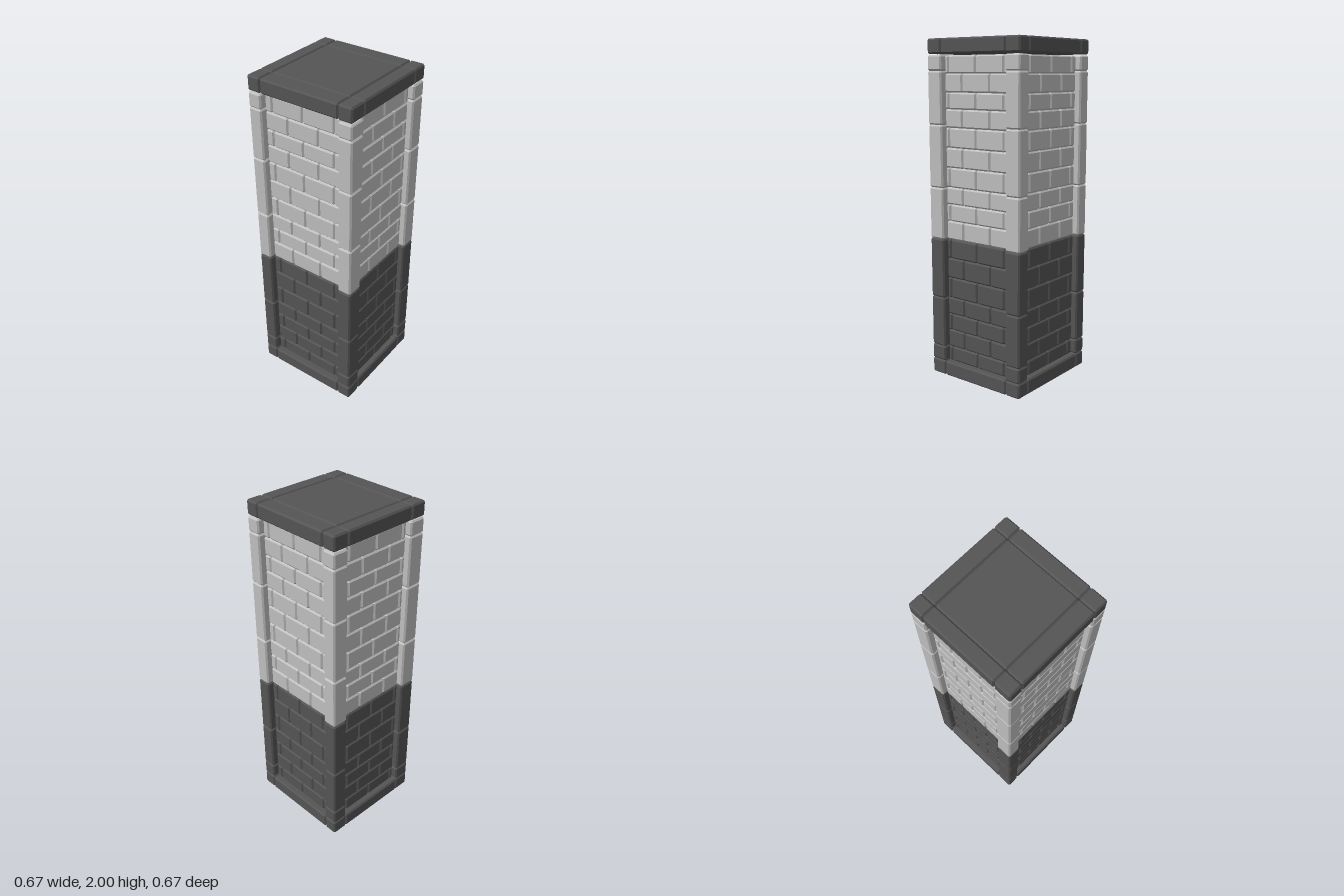
import * as THREE from 'three';
import { mergeGeometries } from 'three/addons/utils/BufferGeometryUtils.js';
import { ConvexGeometry } from 'three/addons/geometries/ConvexGeometry.js';

const BEVEL = 0.009;
const OUT = 0.333;              // outer faces of posts, base and cap
const WALL = 0.3;               // recessed brick face
const X = [-0.249, 0.246];      // joints between posts and walls
const Z = [-0.235, 0.229];
const SPLIT = 0.845;            // height where the stone changes colour

// Stone block with chamfered edges between two corners
function block(x0, x1, y0, y1, z0, z1) {
  const h = [(x1 - x0) / 2, (y1 - y0) / 2, (z1 - z0) / 2];
  const points = [];
  for (const sx of [-1, 1]) for (const sy of [-1, 1]) for (const sz of [-1, 1]) {
    for (let face = 0; face < 3; face++) {
      const p = h.map((v, i) => (i === face ? v : v - BEVEL));
      points.push(new THREE.Vector3(p[0] * sx, p[1] * sy, p[2] * sz));
    }
  }
  return new ConvexGeometry(points).translate((x0 + x1) / 2, (y0 + y1) / 2, (z0 + z1) / 2);
}

export function createModel() {
  const dark = new THREE.MeshStandardMaterial({ color: 0x555555 });
  dark.name = 'darkStone';
  const light = new THREE.MeshStandardMaterial({ color: 0xc0c0c0 });
  light.name = 'lightStone';

  const model = new THREE.Group();
  model.name = 'brickPillar';
  const add = (name, blocks, material) => {
    const mesh = new THREE.Mesh(mergeGeometries(blocks), material);
    mesh.name = name;
    model.add(mesh);
  };

  // Base and cap: a three by three grid of slabs
  const slab = (y0, y1) => {
    const xs = [-OUT, ...X, OUT], zs = [-OUT, ...Z, OUT], list = [];
    for (let i = 0; i < 3; i++) for (let j = 0; j < 3; j++) {
      list.push(block(xs[i], xs[i + 1], y0, y1, zs[j], zs[j + 1]));
    }
    return list;
  };
  add('base', slab(0, 0.09), dark);
  add('cap', slab(1.914, 2), dark);

  // Corner posts, stacked from blocks of varying height
  const posts = { dark: [], light: [] };
  const postY = [0.09, 0.18, 0.485, SPLIT, 1.15, 1.515, 1.82, 1.908];
  for (let i = 0; i < postY.length - 1; i++) {
    const list = postY[i] < SPLIT ? posts.dark : posts.light;
    for (const [x0, x1] of [[-OUT, X[0]], [X[1], OUT]]) {
      for (const [z0, z1] of [[-OUT, Z[0]], [Z[1], OUT]]) {
        list.push(block(x0, x1, postY[i], postY[i + 1], z0, z1));
      }
    }
  }
  add('lowerPosts', posts.dark, dark);
  add('upperPosts', posts.light, light);

  // Brick walls on all four sides, with joints staggered row by row
  const rowY = [0.09, 0.18, 0.285, 0.385, 0.487, 0.61, 0.73, SPLIT, 0.955,
    1.055, 1.155, 1.27, 1.385, 1.5, 1.605, 1.7, 1.805, 1.906];
  const walls = { dark: [], light: [] };
  for (let r = 0; r < rowY.length - 1; r++) {
    const y0 = rowY[r], y1 = rowY[r + 1];
    const list = y0 < SPLIT ? walls.dark : walls.light;
    const joints = r % 2 === 0 ? [-0.2, 0, 0.2] : [-0.1, 0.1];
    const xs = [X[0], ...joints, X[1]];
    const zs = [Z[0], ...joints, Z[1]];
    for (let i = 0; i < xs.length - 1; i++) {
      list.push(block(xs[i], xs[i + 1], y0, y1, Z[1], WALL));
      list.push(block(xs[i], xs[i + 1], y0, y1, -WALL, Z[0]));
      list.push(block(X[1], WALL, y0, y1, zs[i], zs[i + 1]));
      list.push(block(-WALL, X[0], y0, y1, zs[i], zs[i + 1]));
    }
  }
  add('lowerBricks', walls.dark, dark);
  add('upperBricks', walls.light, light);

  return model;
}
